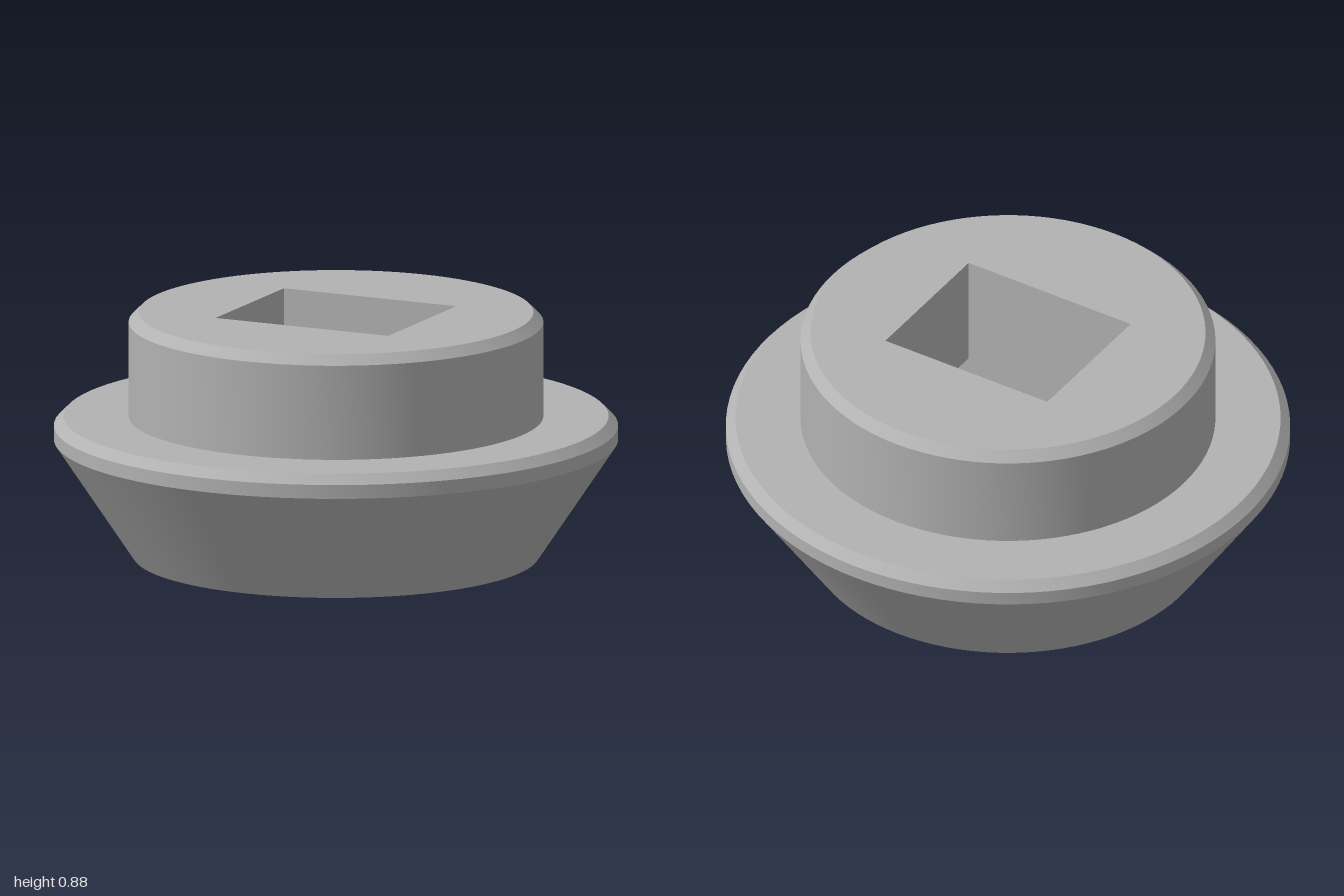
import * as THREE from 'three';
import { toCreasedNormals } from 'three/addons/utils/BufferGeometryUtils.js';

const SEGMENTS = 96;
const TOP = 0.88, SHELF = 0.46;
const upperHole = { x: 0.34, z: 0.275 };   // half sizes
const lowerHole = { x: 0.455, z: 0.387 };

function rectangle(target, { x, z }) {
  target.moveTo(-x, -z).lineTo(x, -z).lineTo(x, z).lineTo(-x, z).closePath();
  return target;
}

function disc(radius) {
  const shape = new THREE.Shape();
  shape.absarc(0, 0, radius, 0, Math.PI * 2);
  return shape;
}

// Flat horizontal face with a rectangular opening, facing up or down
function flatFace(shape, hole, y, facing) {
  shape.holes.push(rectangle(new THREE.Path(), hole));
  return new THREE.ShapeGeometry(shape, SEGMENTS / 2)
    .rotateX(-facing * Math.PI / 2)
    .translate(0, y, 0);
}

export function createModel() {
  const group = new THREE.Group();
  const grey = new THREE.MeshStandardMaterial({ color: 0xb2b2b2 });
  grey.name = 'grey';

  function add(name, geometry) {
    const mesh = new THREE.Mesh(geometry, grey);
    mesh.name = name;
    group.add(mesh);
    return mesh;
  }

  // Four walls of a rectangular opening, facing its middle
  function addWalls(name, { x, z }, y0, y1) {
    for (let i = 0; i < 4; i++) {
      const [width, distance] = i % 2 ? [z * 2, x] : [x * 2, z];
      add(name, new THREE.PlaneGeometry(width, y1 - y0)
        .translate(0, (y0 + y1) / 2, -distance)
        .rotateY(i * Math.PI / 2));
    }
  }

  // Outer skin: tapered base, chamfered flange and chamfered collar
  const profile = [
    [0.72, 0], [1, 0.42], [1, 0.47], [0.966, 0.504],
    [0.735, 0.504], [0.735, 0.845], [0.7, TOP],
  ].map(([r, y]) => new THREE.Vector2(r, y));
  add('body', toCreasedNormals(new THREE.LatheGeometry(profile, SEGMENTS), 0.4));

  // End faces
  add('topFace', flatFace(disc(0.7), upperHole, TOP, 1));
  add('bottomFace', flatFace(disc(0.72), lowerHole, 0, -1));

  // Stepped rectangular opening
  addWalls('upperOpeningWall', upperHole, SHELF, TOP);
  addWalls('lowerOpeningWall', lowerHole, 0, SHELF);
  add('openingShelf', flatFace(rectangle(new THREE.Shape(), lowerHole), upperHole, SHELF, -1));

  return group;
}
